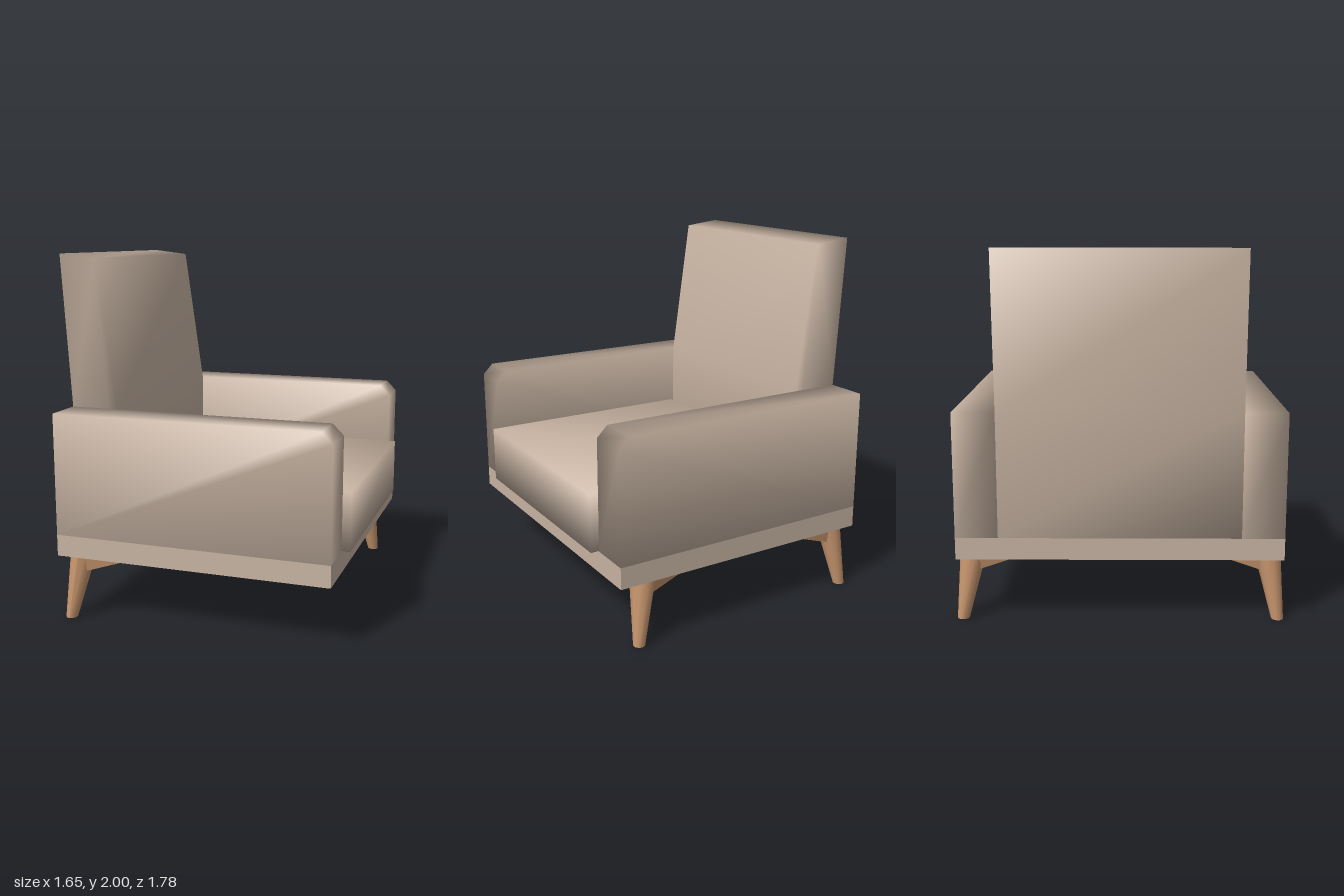
import * as THREE from 'three';
import { mergeVertices } from 'three/addons/utils/BufferGeometryUtils.js';
import { ConvexGeometry } from 'three/addons/geometries/ConvexGeometry.js';

const fabric = new THREE.MeshStandardMaterial({ name: 'beige fabric', color: 0xc8b4a3 });
const wood = new THREE.MeshStandardMaterial({ name: 'warm wood', color: 0xc8966e });

function mesh(name, geometry, material) {
  const m = new THREE.Mesh(geometry, material);
  m.name = name;
  return m;
}

// Side profile in x, y pulled along z, with normals shared across edges for a padded look
function padded(name, points, z0, z1) {
  const shape = new THREE.Shape(points.map(([x, y]) => new THREE.Vector2(x, y)));
  let g = new THREE.ExtrudeGeometry(shape, { depth: z1 - z0, bevelEnabled: false });
  g.translate(0, 0, z0);
  g.deleteAttribute('normal');
  g.deleteAttribute('uv');
  g = mergeVertices(g, 1e-4);
  g.computeVertexNormals();
  return mesh(name, g, fabric);
}

function rectangle(path, hx, hz) {
  path.moveTo(-hx, -hz).lineTo(hx, -hz).lineTo(hx, hz).lineTo(-hx, hz).closePath();
  return path;
}

// Splayed round leg with two tapering braces under the rails
function leg(name, footX, footZ) {
  const group = new THREE.Group();
  group.name = name;
  const sx = Math.sign(footX), sz = Math.sign(footZ);
  const height = 0.358, lean = 0.055;
  const post = new THREE.CylinderGeometry(0.072, 0.033, height, 10, 1);
  post.translate(0, height / 2, 0);
  const p = post.attributes.position;
  for (let i = 0; i < p.count; i++) {
    const t = p.getY(i) / height;
    p.setX(i, p.getX(i) + footX - sx * lean * t);
    p.setZ(i, p.getZ(i) + footZ - sz * lean * t);
  }
  post.computeVertexNormals();
  group.add(mesh('legPost', post, wood));

  const cx = footX - sx * lean, cz = footZ - sz * lean;
  for (const [dx, dz] of [[-sx, 0], [0, -sz]]) {
    const points = [];
    for (const [along, y, half] of [[0, 0.358, 0.065], [0, 0.26, 0.045], [0.06, 0.28, 0.035], [0.295, 0.354, 0.02], [0.295, 0.358, 0.02]]) {
      for (const s of [-half, half]) {
        points.push(new THREE.Vector3(cx + dx * along + dz * s, y, cz + dz * along + dx * s));
      }
    }
    group.add(mesh('legBrace', new ConvexGeometry(points), wood));
  }
  return group;
}

export function createModel() {
  const chair = new THREE.Group();
  chair.name = 'armchair';

  // Open base frame
  const ring = rectangle(new THREE.Shape(), 0.775, 0.88);
  ring.holes.push(rectangle(new THREE.Path(), 0.675, 0.78));
  const frame = new THREE.ExtrudeGeometry(ring, { depth: 0.12, bevelEnabled: false });
  frame.rotateX(-Math.PI / 2);
  frame.translate(0, 0.355, 0);
  chair.add(mesh('baseFrame', frame, fabric));

  // Arms with a clipped front top corner
  const arm = [[-0.775, 0.475], [0.775, 0.475], [0.775, 1.095], [0.715, 1.155], [-0.775, 1.155]];
  chair.add(padded('armRight', arm, 0.65, 0.88));
  chair.add(padded('armLeft', arm, -0.88, -0.65));

  // Backrest, upright between the arms and leaning above them
  chair.add(padded('backrest', [
    [-0.775, 0.475], [-0.5, 0.475], [-0.5, 1.155], [-0.617, 1.975], [-0.827, 2], [-0.775, 1.155],
  ], -0.65, 0.65));

  // Seat cushion
  chair.add(padded('seatCushion', [[-0.48, 0.476], [0.82, 0.476], [0.82, 0.8], [-0.48, 0.8]], -0.645, 0.645));

  // Three legs
  chair.add(leg('backLegRight', -0.71, 0.86));
  chair.add(leg('backLegLeft', -0.71, -0.857));
  chair.add(leg('frontLegLeft', 0.658, -0.857));
  return chair;
}
